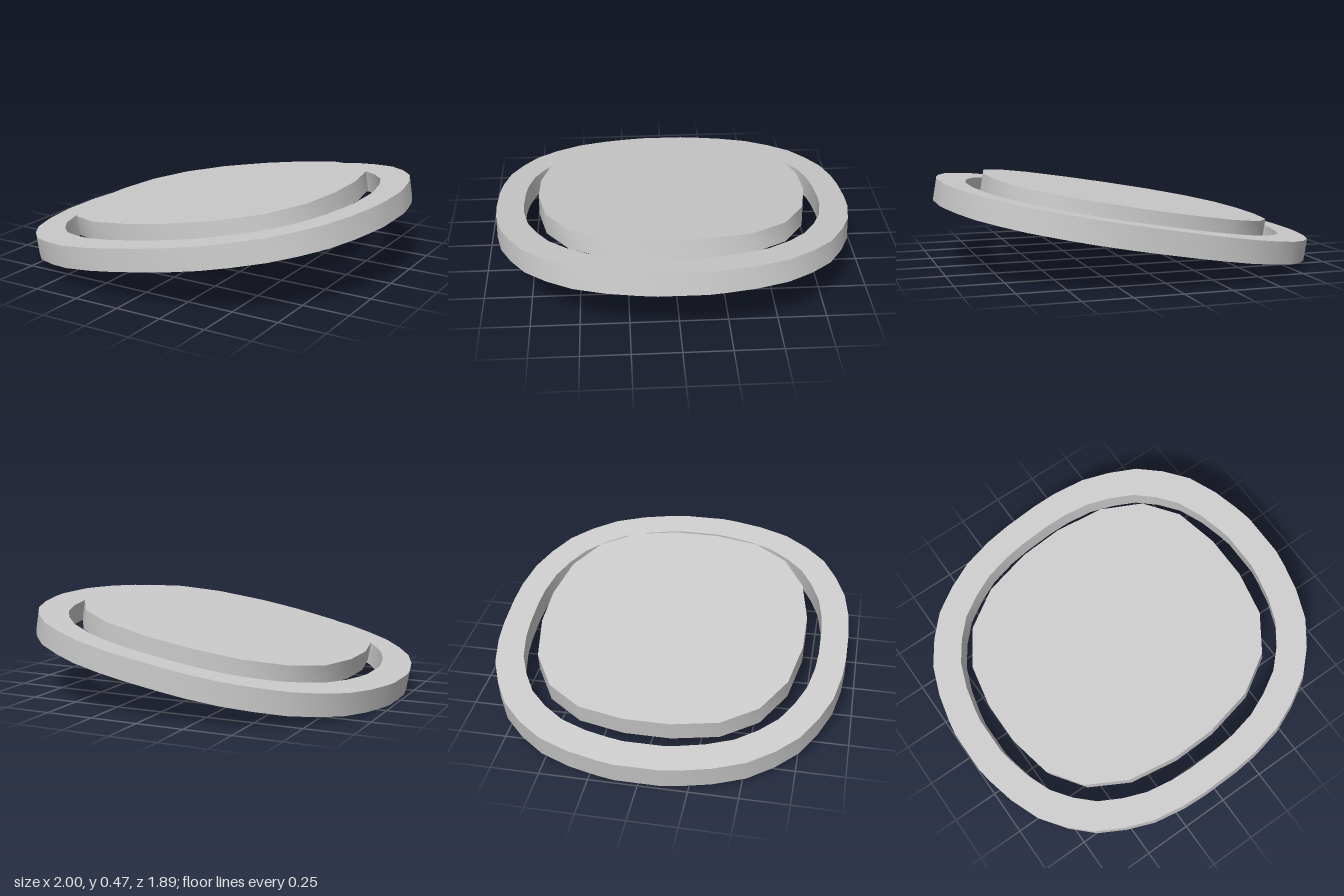
import * as THREE from 'three';
import { toCreasedNormals } from 'three/addons/utils/BufferGeometryUtils.js';

// One quadrant of each rounded outline, from the x axis towards the z axis
const RING = [[1.005, 0.12], [0.99, 0.21], [0.955, 0.36], [0.893, 0.52], [0.8, 0.65],
  [0.69, 0.76], [0.55, 0.84], [0.405, 0.9], [0.235, 0.933], [0.1, 0.943]];
const DISC = [[0.758, 0.12], [0.71, 0.36], [0.585, 0.543], [0.38, 0.663], [0.117, 0.713]];

// Mirrors a quadrant into a full closed outline
function outline(quadrant, scale = 1) {
  const back = [...quadrant].reverse();
  return [
    ...quadrant.map(([x, y]) => [x, y]),
    ...back.map(([x, y]) => [-x, y]),
    ...quadrant.map(([x, y]) => [-x, -y]),
    ...back.map(([x, y]) => [x, -y]),
  ].map(([x, y]) => new THREE.Vector2(x * scale, y * scale));
}

// Extrudes a flat shape upwards from the given height
function slab(name, shape, bottom, thickness, material) {
  const geometry = new THREE.ExtrudeGeometry(shape, { depth: thickness, bevelEnabled: false });
  geometry.rotateX(-Math.PI / 2).translate(0, bottom, 0);
  const mesh = new THREE.Mesh(toCreasedNormals(geometry, 0.6), material);
  mesh.name = name;
  return mesh;
}

export function createModel() {
  const material = new THREE.MeshStandardMaterial({ color: 0xcccccc });
  const model = new THREE.Group();
  model.name = 'tiltedDiscAndRing';

  // Outer ring with an open centre
  const ringShape = new THREE.Shape(outline(RING));
  ringShape.holes.push(new THREE.Path(outline(RING, 0.845)));

  // Both parts share one tilt, rising towards +x
  const tilted = new THREE.Group();
  tilted.name = 'tiltedParts';
  tilted.position.y = 0.23;
  tilted.rotation.z = THREE.MathUtils.degToRad(9.74);
  tilted.add(
    slab('outerRing', ringShape, -0.059, 0.118, material),
    // Inner disc floats loose in the ring, standing proud of it
    slab('innerDisc', new THREE.Shape(outline(DISC)), 0.015, 0.105, material),
  );
  model.add(tilted);
  return model;
}
